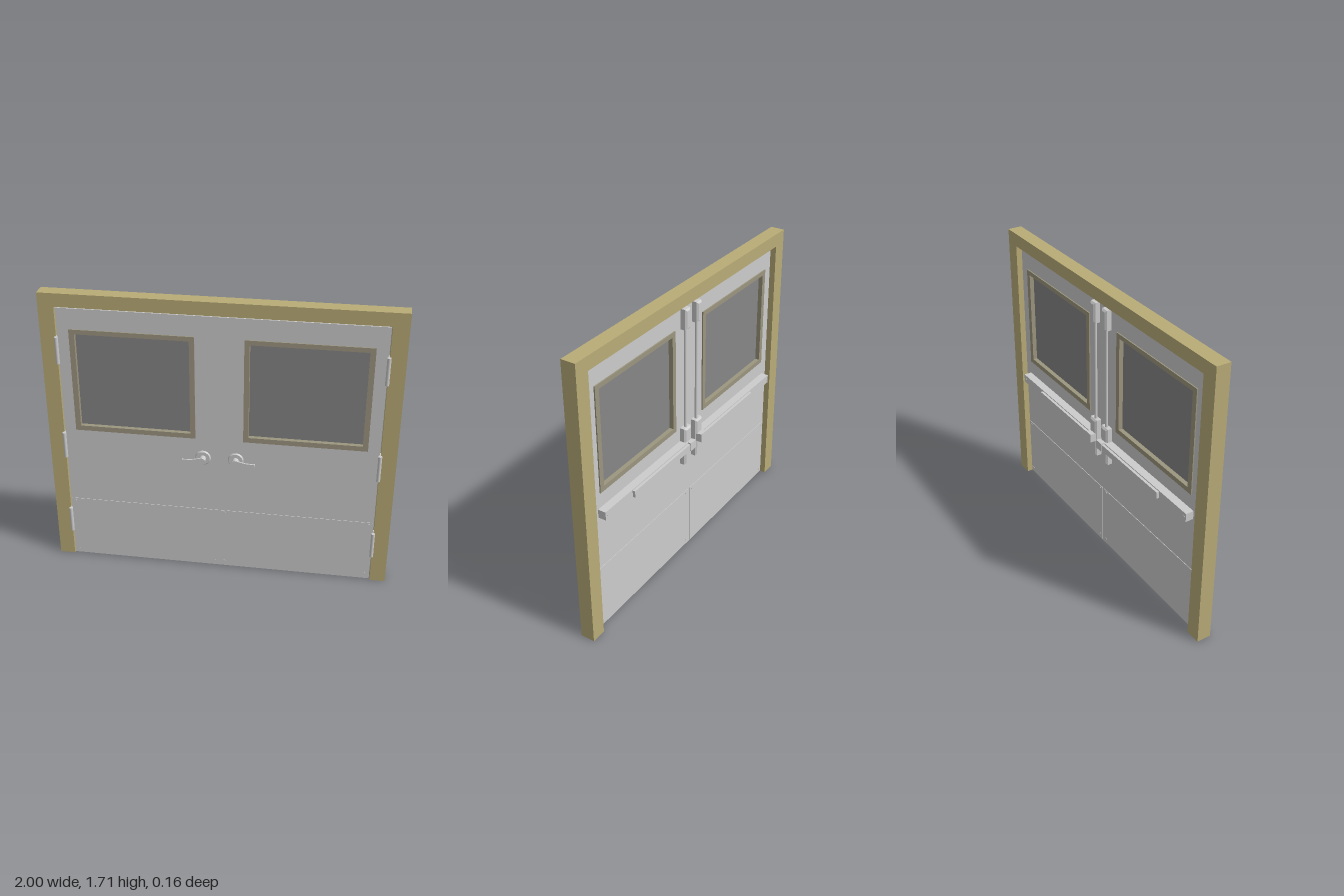
import * as THREE from 'three';

const mat = (color) => new THREE.MeshStandardMaterial({ color });
const steel = mat(0xcccccc), paint = mat(0xb9ac77), trim = mat(0x9c967f), glassMat = mat(0x868686);

const DOOR_FRONT = 0.034, DOOR_BACK = -0.012;

function add(parent, name, geometry, material = steel) {
  const mesh = new THREE.Mesh(geometry, material);
  mesh.name = name;
  parent.add(mesh);
  return mesh;
}

// box given by its limits on each axis
function box(parent, name, [x0, x1], [y0, y1], [z0, z1], material) {
  const g = new THREE.BoxGeometry(Math.abs(x1 - x0), y1 - y0, z1 - z0);
  g.translate((x0 + x1) / 2, (y0 + y1) / 2, (z0 + z1) / 2);
  return add(parent, name, g, material);
}

function cylinder(parent, name, radius, length, axis, [x, y, z], segments = 24, topRadius = radius) {
  const g = new THREE.CylinderGeometry(topRadius, radius, length, segments);
  if (axis === 'z') g.rotateX(Math.PI / 2);
  return add(parent, name, g.translate(x, y, z));
}

const polygon = (points, Type = THREE.Shape) => new Type(points.map((p) => new THREE.Vector2(...p)));
const rect = ([x0, x1], [y0, y1], Type) => polygon([[x0, y0], [x1, y0], [x1, y1], [x0, y1]], Type);

function extrude(parent, name, shape, [z0, z1], material) {
  const g = new THREE.ExtrudeGeometry(shape, { depth: z1 - z0, bevelEnabled: false });
  return add(parent, name, g.translate(0, 0, z0), material);
}

// cover with chamfered edges toward the back of the door
function cover(parent, name, [x0, x1], [y0, y1], zBack) {
  const c = 0.01;
  const g = new THREE.ExtrudeGeometry(rect([x0 + c, x1 - c], [y0 + c, y1 - c]), {
    depth: DOOR_BACK - zBack - c, bevelThickness: c, bevelSize: c, bevelSegments: 1,
  });
  return add(parent, name, g.translate(0, 0, zBack + c));
}

// one leaf with its hardware; s = 1 for the left leaf, -1 for the right
function createLeaf(s) {
  const leaf = new THREE.Group();
  leaf.name = s > 0 ? 'leftDoor' : 'rightDoor';
  const span = (a, b) => (s > 0 ? [a, b] : [-b, -a]);

  // leaf panel with window opening
  const panel = rect(span(0, 0.905), [0.006, 1.626]);
  panel.holes.push(rect(span(0.16, 0.81), [0.905, 1.485], THREE.Path));
  extrude(leaf, 'doorPanel', panel, [DOOR_BACK, DOOR_FRONT]);

  // window trim and pane
  const windowTrim = rect(span(0.137, 0.837), [0.88, 1.505]);
  windowTrim.holes.push(rect(span(0.166, 0.806), [0.91, 1.478], THREE.Path));
  extrude(leaf, 'windowTrim', windowTrim, [DOOR_BACK - 0.007, DOOR_FRONT + 0.007], trim);
  box(leaf, 'windowPane', span(0.16, 0.81), [0.905, 1.485], [0.007, 0.015], glassMat);

  // kick plates with corner screws on both faces
  for (const [z0, z1, zScrew] of [
    [DOOR_FRONT, DOOR_FRONT + 0.003, DOOR_FRONT + 0.004],
    [DOOR_BACK - 0.003, DOOR_BACK, DOOR_BACK - 0.004],
  ]) {
    box(leaf, 'kickPlate', span(0.008, 0.9), [0.012, 0.405], [z0, z1]);
    for (const x of [0.03, 0.878])
      for (const y of [0.04, 0.39]) cylinder(leaf, 'screw', 0.007, 0.003, 'z', [s * x, y, zScrew], 12);
  }

  // hinge knuckles
  for (const y of [0.26, 0.78, 1.38]) {
    cylinder(leaf, 'hinge', 0.011, 0.16, 'y', [s * 0.907, y, 0.051], 20);
    box(leaf, 'hingeLeaf', span(0.902, 0.912), [y - 0.08, y + 0.08], [0.01, 0.045]);
  }

  // lever handle
  const hx = 0.095, hy = 0.755;
  cylinder(leaf, 'handleRose', 0.046, 0.009, 'z', [s * hx, hy, DOOR_FRONT + 0.004], 32, 0.04);
  cylinder(leaf, 'handleSpindle', 0.019, 0.042, 'z', [s * hx, hy, 0.055]);
  const lever = polygon([[-0.016, -0.012], [0, -0.02], [0.02, -0.017], [0.06, -0.013], [0.115, -0.013],
    [0.115, 0.003], [0.06, 0.006], [0.02, 0.016], [0, 0.02], [-0.016, 0.012]]
    .map(([x, y]) => [s * (hx + x), hy + y]));
  extrude(leaf, 'handleLever', lever, [0.071, 0.08]);
  box(leaf, 'handleTip', span(0.203, 0.21), [hy - 0.013, hy + 0.003], [0.064, 0.074]);

  // push bar on the back: rail, touch pad and end cap
  box(leaf, 'pushBarRail', span(0.03, 0.858), [0.737, 0.788], [-0.06, DOOR_BACK]);
  box(leaf, 'touchPad', span(0.08, 0.62), [0.742, 0.782], [-0.076, -0.06]);
  box(leaf, 'pushBarEnd', span(0.03, 0.08), [0.738, 0.79], [-0.081, -0.06]);
  cylinder(leaf, 'screw', 0.006, 0.003, 'z', [s * 0.84, 0.762, -0.061], 12);

  // latch case, vertical rod and top latch
  cover(leaf, 'latchCase', span(0.025, 0.09), [0.635, 0.875], -0.05);
  cylinder(leaf, 'verticalRod', 0.009, 0.65, 'y', [s * 0.056, 1.18, -0.028], 16);
  cover(leaf, 'topLatch', span(0.033, 0.08), [1.49, 1.61], -0.05);
  return leaf;
}

export function createModel() {
  const model = new THREE.Group();
  model.name = 'doubleDoor';

  // jambs and header as one piece
  const frame = polygon([[-1, 0], [-0.91, 0], [-0.91, 1.632], [0.91, 1.632], [0.91, 0], [1, 0], [1, 1.71], [-1, 1.71]]);
  extrude(model, 'doorFrame', frame, [-0.045, 0.04], paint);

  for (const s of [1, -1]) model.add(createLeaf(s));
  return model;
}
